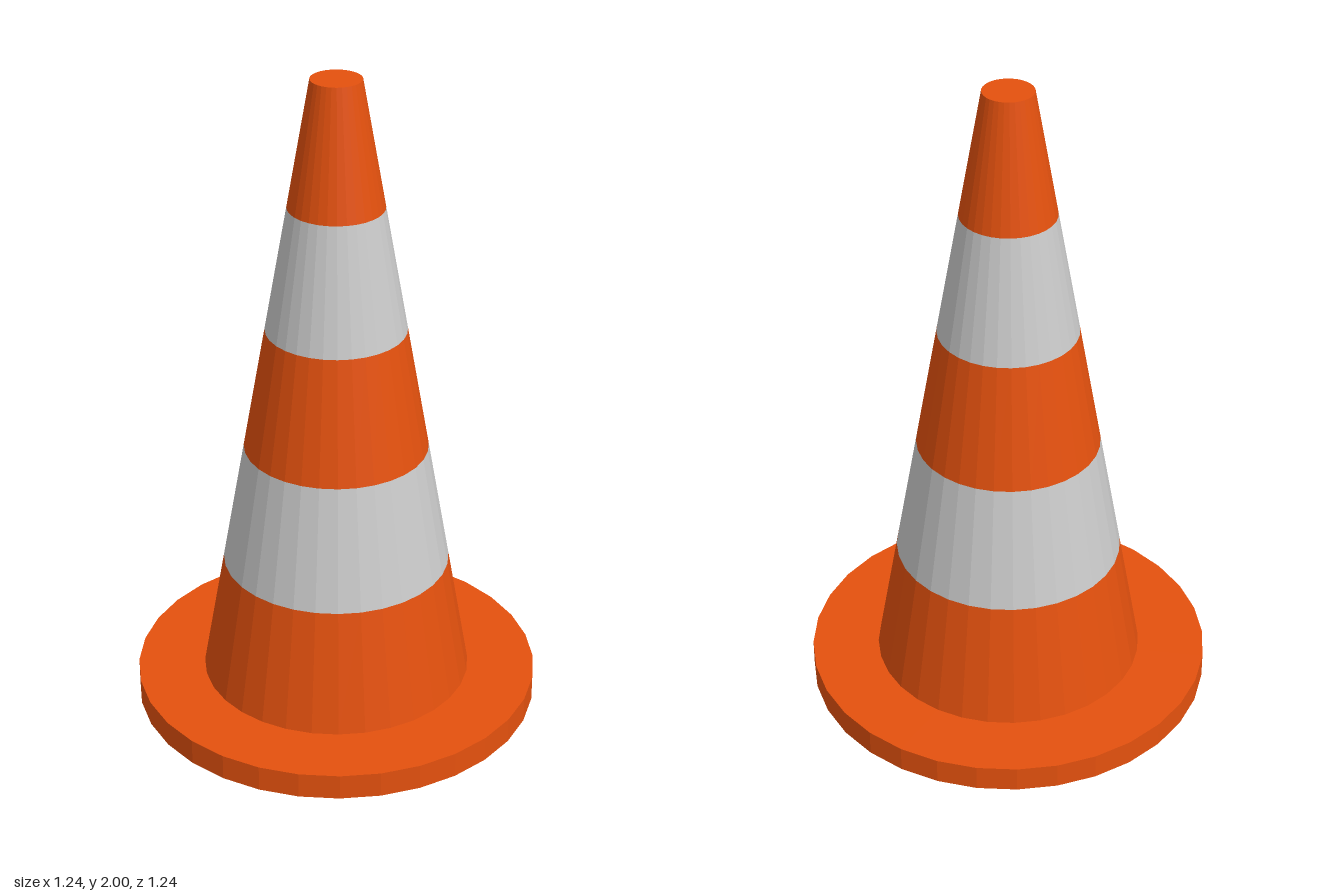
import * as THREE from 'three';

const SIDES = 32;
const BASE_HEIGHT = 0.08, BASE_RADIUS = 0.62;
const HEIGHT = 2, BOTTOM_RADIUS = 0.413, TOP_RADIUS = 0.075;
const BANDS = 5;

export function createModel() {
  const group = new THREE.Group();
  group.name = 'trafficCone';

  const orange = new THREE.MeshStandardMaterial({ color: 0xe5510e, flatShading: true });
  const grey = new THREE.MeshStandardMaterial({ color: 0xcccccc, flatShading: true });

  const addPart = (name, geometry, material, y) => {
    const mesh = new THREE.Mesh(geometry, material);
    mesh.name = name;
    mesh.position.y = y;
    group.add(mesh);
  };

  // Round foot plate
  addPart('base', new THREE.CylinderGeometry(BASE_RADIUS, BASE_RADIUS, BASE_HEIGHT, SIDES), orange, BASE_HEIGHT / 2);

  // Tapering body in equal bands of alternating colour
  const bandHeight = (HEIGHT - BASE_HEIGHT) / BANDS;
  const radiusAt = (i) => THREE.MathUtils.lerp(BOTTOM_RADIUS, TOP_RADIUS, i / BANDS);
  for (let i = 0; i < BANDS; i++) {
    const isStripe = i % 2 === 1;
    const isTop = i === BANDS - 1;
    addPart(
      isStripe ? `reflectiveStripe${(i + 1) / 2}` : `coneBand${i / 2 + 1}`,
      new THREE.CylinderGeometry(radiusAt(i + 1), radiusAt(i), bandHeight, SIDES, 1, !isTop),
      isStripe ? grey : orange,
      BASE_HEIGHT + (i + 0.5) * bandHeight
    );
  }

  return group;
}
